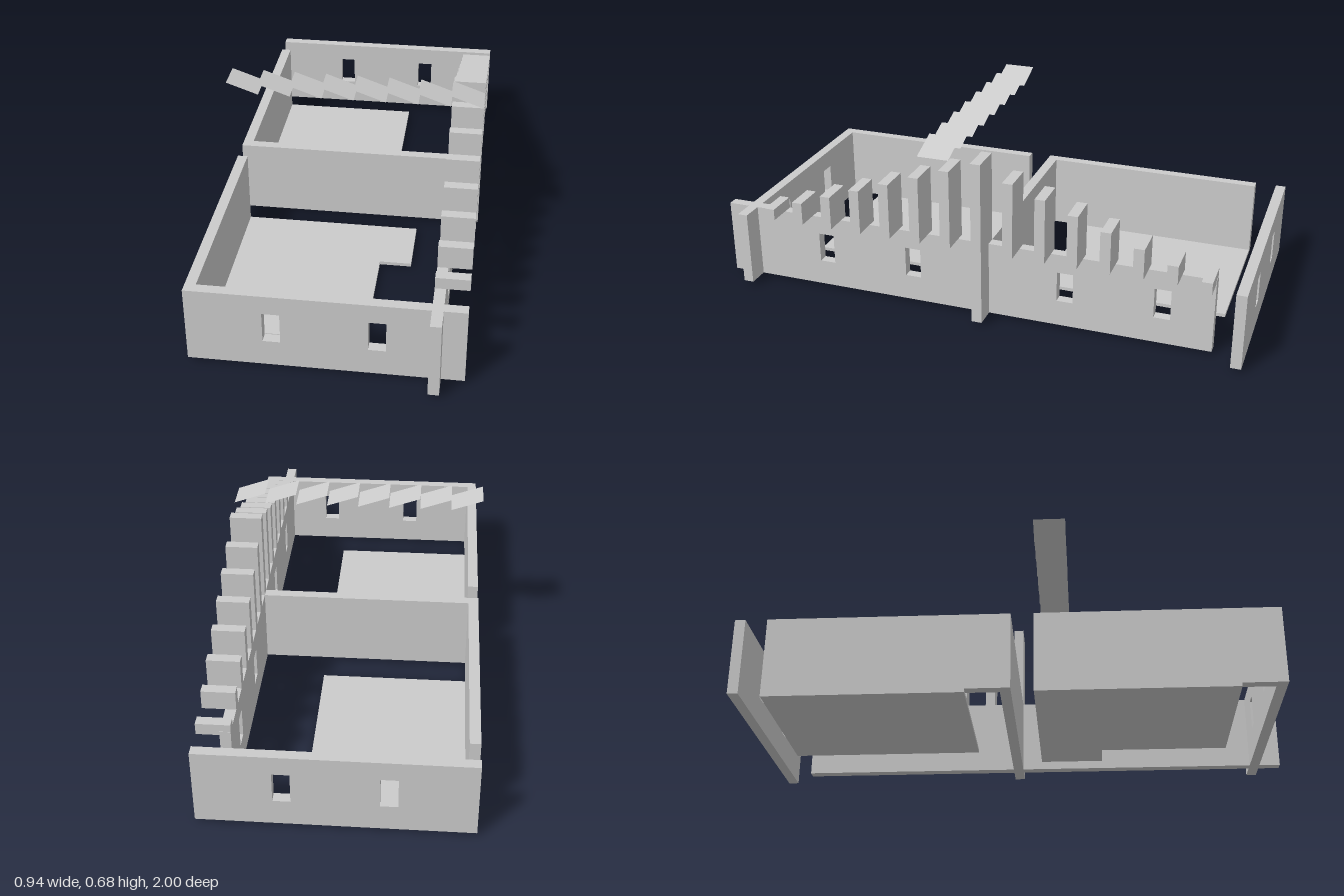
import * as THREE from 'three';

const BASE = 0.013, TOP = 0.296, T = 0.038; // wall foot, wall top, wall thickness
const STEP = 0.1175;                        // spacing of fins and slats

export function createModel() {
  const model = new THREE.Group();
  const mat = new THREE.MeshStandardMaterial({ color: 0xcccccc, flatShading: true });
  const thin = new THREE.MeshStandardMaterial({ color: 0xcccccc, flatShading: true, side: THREE.DoubleSide });

  const add = (name, geometry, material = mat) => {
    const mesh = new THREE.Mesh(geometry, material);
    mesh.name = name;
    model.add(mesh);
    return mesh;
  };

  // Box given by its extents on each axis
  const block = (name, [x0, x1], [y0, y1], [z0, z1]) =>
    add(name, new THREE.BoxGeometry(x1 - x0, y1 - y0, z1 - z0))
      .position.set((x0 + x1) / 2, (y0 + y1) / 2, (z0 + z1) / 2);

  // Upright wall from a to b, with window holes centred at the given places
  const windowedWall = (name, a, b, windows) => {
    const rect = (p, x0, y0, x1, y1) => p.moveTo(x0, y0).lineTo(x1, y0).lineTo(x1, y1).lineTo(x0, y1).closePath();
    const shape = rect(new THREE.Shape(), a, BASE, b, TOP);
    for (const c of windows) shape.holes.push(rect(new THREE.Path(), c - 0.03, 0.111, c + 0.03, 0.225));
    return add(name, new THREE.ExtrudeGeometry(shape, { depth: T, bevelEnabled: false }));
  };

  // Cross walls
  windowedWall('frontWall', -0.47, 0.47, [-0.178, 0.176]).position.z = 0.881;
  windowedWall('backWall', -0.47, 0.47, [-0.178, 0.176]).position.z = -1;
  block('middleWall', [-0.47, 0.47], [BASE, TOP], [-0.06, -0.022]);

  // Long walls: one with windows, the other split by doorway gaps
  const longWall = windowedWall('windowedLongWall', -0.884, 1, [0.593, 0.239, -0.348, -0.702]);
  longWall.rotation.y = -Math.PI / 2;
  longWall.position.x = 0.39;
  block('frontRoomSideWall', [-0.47, -0.432], [BASE, TOP], [0.058, 0.919]);
  block('backRoomSideWall', [-0.47, -0.432], [BASE, TOP], [-0.884, -0.022]);

  // Floor slabs, the front one with a small extension
  block('backFloor', [-0.47, 0.115], [0, BASE], [-0.884, -0.18]);
  const plan = new THREE.Shape([[-0.47, 0.058], [0.233, 0.058], [0.233, 0.292], [0.115, 0.292],
    [0.115, 0.762], [-0.47, 0.762]].map(([x, z]) => new THREE.Vector2(x, -z)));
  const floor = add('frontFloor', new THREE.ExtrudeGeometry(plan, { depth: BASE, bevelEnabled: false }));
  floor.rotation.x = -Math.PI / 2;

  // Stepped fins rising to a tall central pier
  for (let i = -7; i <= 7; i++) {
    const z = -0.041 + i * STEP;
    const top = i > 0 ? 0.635 - i * 0.0424 : i < 0 ? 0.622 + i * 0.0426 : 0.635;
    const bottom = i === 0 ? BASE : i === -7 ? 0.281 : TOP;
    block(i ? 'fin' : 'centralPier', [0.352, 0.47], [bottom, top], [z - T / 2, z + T / 2]);
  }

  // Row of thin tilted roof slats
  for (let i = 0; i < 8; i++) {
    const slat = add('roofSlat', new THREE.PlaneGeometry(Math.hypot(STEP, 0.042), 0.117).rotateX(-Math.PI / 2), thin);
    slat.rotation.z = -Math.atan2(0.042, STEP);
    slat.position.set(-0.47 + (i + 0.5) * STEP, 0.656, 0.116);
  }
  return model;
}
